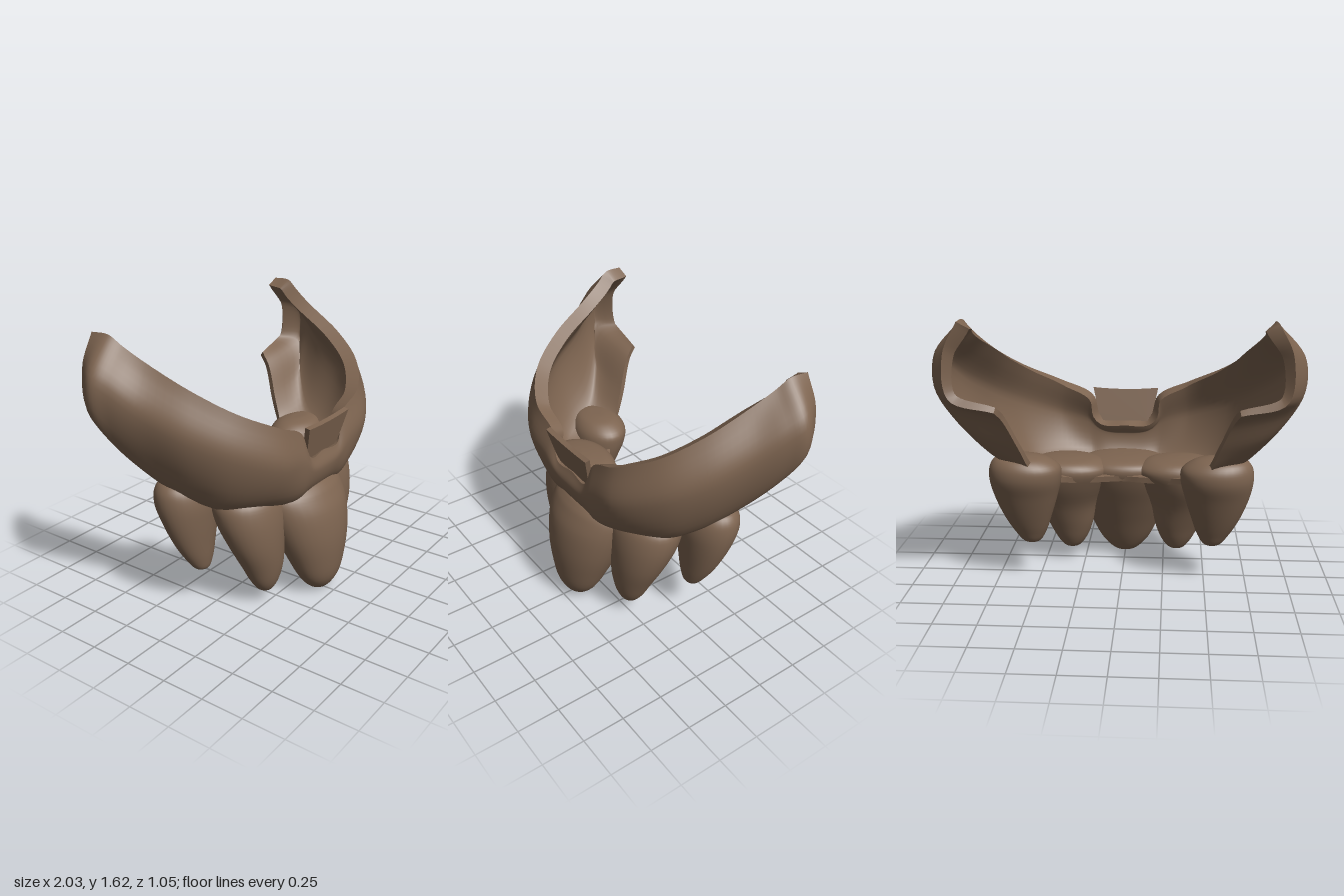
import * as THREE from 'three';

const brown = new THREE.MeshStandardMaterial({ color: 0x7d6450, side: THREE.DoubleSide });
brown.name = 'brown';

// Smooth surface over a grid of points (rows of equal length)
function surface(name, rows, closed = false) {
  const n = rows[0].length, pos = [], idx = [];
  rows.forEach(r => r.forEach(p => pos.push(p.x, p.y, p.z)));
  for (let i = 0; i < rows.length - 1; i++) {
    for (let j = 0; j < (closed ? n : n - 1); j++) {
      const k = (j + 1) % n;
      const a = i * n + j, b = i * n + k, c = a + n, d = b + n;
      idx.push(a, b, c, b, d, c);
    }
  }
  const g = new THREE.BufferGeometry();
  g.setAttribute('position', new THREE.Float32BufferAttribute(pos, 3));
  g.setIndex(idx);
  g.computeVertexNormals();
  const mesh = new THREE.Mesh(g, brown);
  mesh.name = name;
  return mesh;
}

// Tooth from stacked ellipses: [y, xMin, xMax, zMin, zMax]
function tooth(name, sections, side = 1) {
  const size = new THREE.CatmullRomCurve3(sections.map(s => new THREE.Vector3((s[2] - s[1]) / 2, s[0], (s[4] - s[3]) / 2)));
  const mid = new THREE.CatmullRomCurve3(sections.map(s => new THREE.Vector3((s[1] + s[2]) / 2, s[0], (s[3] + s[4]) / 2)));
  const rows = [], steps = 40, around = 32;
  for (let i = 0; i <= steps; i++) {
    const r = size.getPoint(i / steps), c = mid.getPoint(i / steps), row = [];
    for (let j = 0; j < around; j++) {
      const a = -side * j / around * Math.PI * 2;
      row.push(new THREE.Vector3(side * (c.x + r.x * Math.cos(a)), r.y, c.z + r.z * Math.sin(a)));
    }
    rows.push(row);
  }
  return surface(name, rows, true);
}

// Half of the band, front to back: rim, bulge, lower wall, floor lip
const stations = [
  [[0, 0.89, 0.40], [0, 0.80, 0.43], [0, 0.65, 0.36], [0, 0.59, 0.02]],
  [[0.14, 0.89, 0.41], [0.13, 0.81, 0.43], [0.12, 0.65, 0.36], [0.10, 0.59, 0.00]],
  [[0.21, 1.05, 0.39], [0.24, 0.88, 0.435], [0.22, 0.64, 0.36], [0.20, 0.59, -0.02]],
  [[0.40, 1.14, 0.38], [0.43, 0.92, 0.42], [0.40, 0.65, 0.28], [0.29, 0.60, -0.06]],
  [[0.60, 1.25, 0.25], [0.67, 1.02, 0.27], [0.57, 0.66, 0.14], [0.37, 0.62, -0.11]],
  [[0.72, 1.37, 0.04], [0.81, 1.12, 0.08], [0.66, 0.71, 0.00], [0.45, 0.66, -0.18]],
  [[0.78, 1.49, -0.20], [0.90, 1.24, -0.15], [0.73, 0.79, -0.17], [0.51, 0.73, -0.26]],
  [[0.81, 1.565, -0.33], [0.97, 1.36, -0.30], [0.87, 0.99, -0.33], [0.56, 0.88, -0.35]],
  [[0.83, 1.62, -0.41], [1.0, 1.42, -0.40], [0.97, 1.18, -0.42], [0.63, 1.07, -0.45]],
  [[0.84, 1.62, -0.52], [0.92, 1.45, -0.525], [0.90, 1.20, -0.525], [0.66, 1.13, -0.515]],
];

function band() {
  const group = new THREE.Group();
  group.name = 'band';
  const mirrored = stations.slice(1).reverse().map(s => s.map(([x, y, z]) => [-x, y, z]));
  const all = [...mirrored, ...stations];
  const rails = [0, 1, 2, 3].map(k => new THREE.CatmullRomCurve3(all.map(s => new THREE.Vector3(...s[k]))));
  const U = 108, V = 20;
  const outer = [];
  for (let i = 0; i <= U; i++) {
    const section = new THREE.CatmullRomCurve3(rails.map(r => r.getPoint(i / U)));
    outer.push(section.getPoints(V));
  }
  // Inner skin: the outer one moved along its inward normal, thinner towards the floor
  const inner = outer.map((row, i) => row.map((p, j) => {
    const du = outer[Math.min(i + 1, U)][j].clone().sub(outer[Math.max(i - 1, 0)][j]);
    const dv = row[Math.min(j + 1, V)].clone().sub(row[Math.max(j - 1, 0)]);
    return p.clone().addScaledVector(du.cross(dv).normalize(), THREE.MathUtils.lerp(0.08, 0.035, j / V));
  }));
  group.add(
    surface('outerWall', outer),
    surface('innerWall', [...inner].reverse()),
    surface('topRim', [inner.map(r => r[0]), outer.map(r => r[0])]),
    surface('floorEdge', [outer.map(r => r[V]), inner.map(r => r[V])]),
    surface('rightEnd', [outer[0], inner[0]]),
    surface('leftEnd', [inner[U], outer[U]]),
  );
  return group;
}

// Small upright tab standing in the front notch
function frontTab() {
  const shape = new THREE.Shape();
  shape.moveTo(-0.14, 0);
  shape.lineTo(0.14, 0);
  shape.lineTo(0.17, 0.05);
  shape.lineTo(0.205, 0.21);
  shape.quadraticCurveTo(0, 0.19, -0.205, 0.21);
  shape.lineTo(-0.17, 0.05);
  const g = new THREE.ExtrudeGeometry(shape, { depth: 0.03, bevelEnabled: false });
  const mesh = new THREE.Mesh(g, brown);
  mesh.name = 'frontTab';
  mesh.position.set(0, 0.885, 0.36);
  mesh.rotation.x = 0.23;
  return mesh;
}

export function createModel() {
  const model = new THREE.Group();
  model.name = 'toothedBand';
  model.add(band(), frontTab());

  model.add(tooth('frontTooth', [
    [0.00, 0, 0, 0.40, 0.40],
    [0.02, -0.07, 0.07, 0.34, 0.45],
    [0.10, -0.15, 0.15, 0.28, 0.50],
    [0.25, -0.22, 0.22, 0.20, 0.523],
    [0.40, -0.275, 0.275, 0.12, 0.523],
    [0.55, -0.31, 0.31, 0.04, 0.495],
    [0.64, -0.31, 0.31, 0.01, 0.45],
    [0.685, -0.25, 0.25, 0.04, 0.415],
    [0.705, -0.13, 0.13, 0.13, 0.37],
    [0.71, 0, 0, 0.25, 0.25],
  ]));

  for (const [label, side] of [['left', 1], ['right', -1]]) {
    model.add(tooth(label + 'MiddleTooth', [
      [0.08, 0.335, 0.335, 0.24, 0.24],
      [0.095, 0.285, 0.38, 0.19, 0.275],
      [0.15, 0.24, 0.425, 0.15, 0.305],
      [0.25, 0.20, 0.475, 0.105, 0.328],
      [0.40, 0.17, 0.545, 0.04, 0.34],
      [0.55, 0.11, 0.588, -0.04, 0.335],
      [0.65, 0.08, 0.587, -0.07, 0.315],
      [0.70, 0.14, 0.545, -0.04, 0.28],
      [0.72, 0.24, 0.45, 0.04, 0.21],
      [0.725, 0.34, 0.34, 0.12, 0.12],
    ], side));
    model.add(tooth(label + 'OuterTooth', [
      [0.22, 0.545, 0.545, -0.06, -0.06],
      [0.235, 0.495, 0.595, -0.105, -0.025],
      [0.30, 0.455, 0.645, -0.145, -0.01],
      [0.40, 0.42, 0.70, -0.195, 0.0],
      [0.55, 0.375, 0.755, -0.26, 0.012],
      [0.66, 0.35, 0.775, -0.305, 0.015],
      [0.73, 0.355, 0.77, -0.305, 0.0],
      [0.78, 0.42, 0.74, -0.27, -0.04],
      [0.80, 0.50, 0.68, -0.21, -0.10],
      [0.803, 0.59, 0.59, -0.155, -0.155],
    ], side));
  }
  return model;
}
